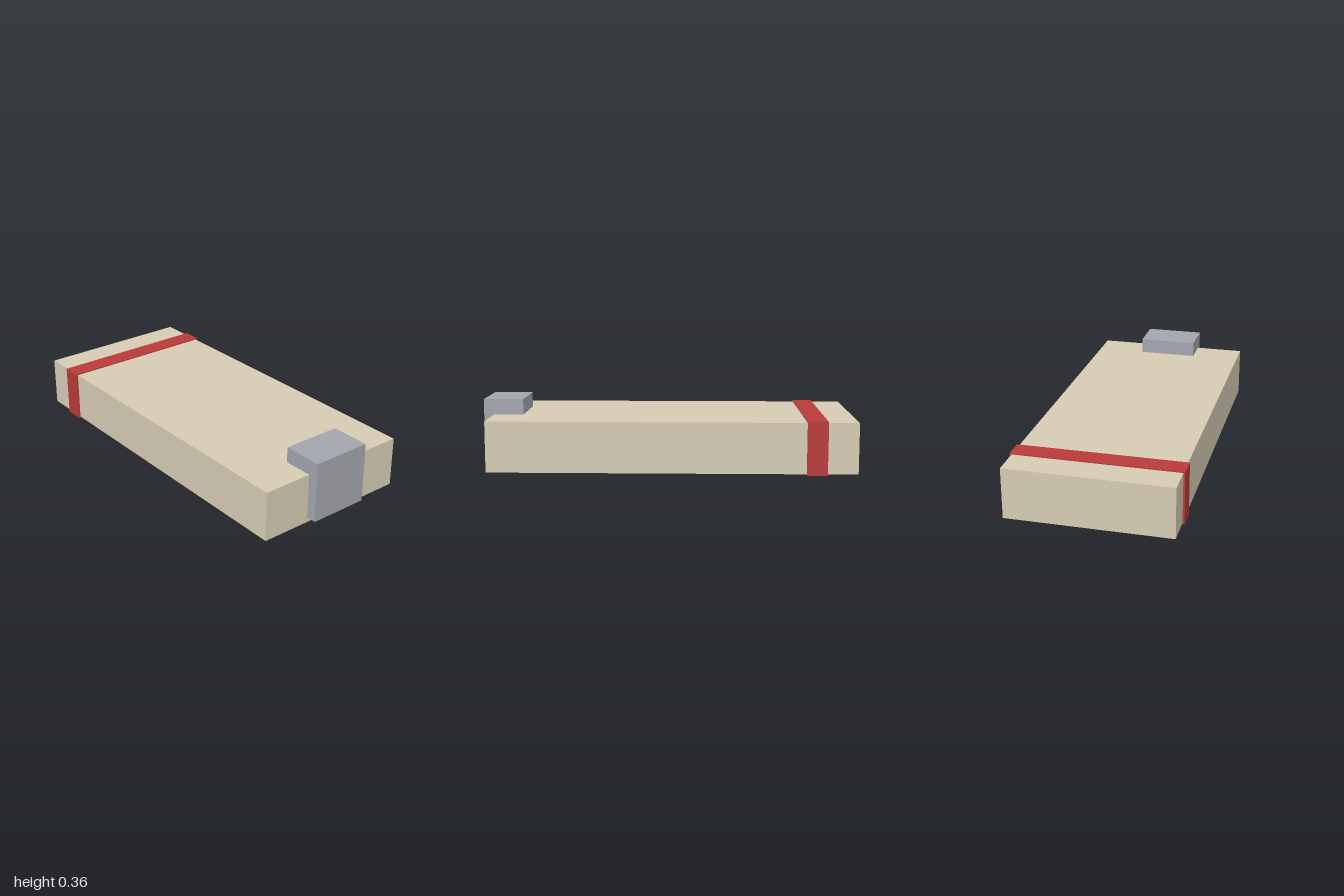
import * as THREE from 'three';

// Box spanning the given minimum and maximum corners
function block(name, color, min, max) {
  const size = max.map((v, i) => v - min[i]);
  const mesh = new THREE.Mesh(
    new THREE.BoxGeometry(...size),
    new THREE.MeshStandardMaterial({ color })
  );
  mesh.position.set(...max.map((v, i) => (v + min[i]) / 2));
  mesh.name = name;
  return mesh;
}

export function createModel() {
  const model = new THREE.Group();
  model.name = 'strappedBlock';

  // Long slab, with a thin band wrapped around it near the back
  model.add(block('body', 0xd6ccb4, [-0.432, 0.006, -1], [0.432, 0.276, 0.945]));
  model.add(block('band', 0xb83a3a, [-0.442, 0, -0.84], [0.442, 0.282, -0.732]));

  // Clasp overlapping the top front edge
  model.add(block('clasp', 0xa3a5ae, [-0.162, 0.034, 0.785], [0.162, 0.359, 1]));

  return model;
}
